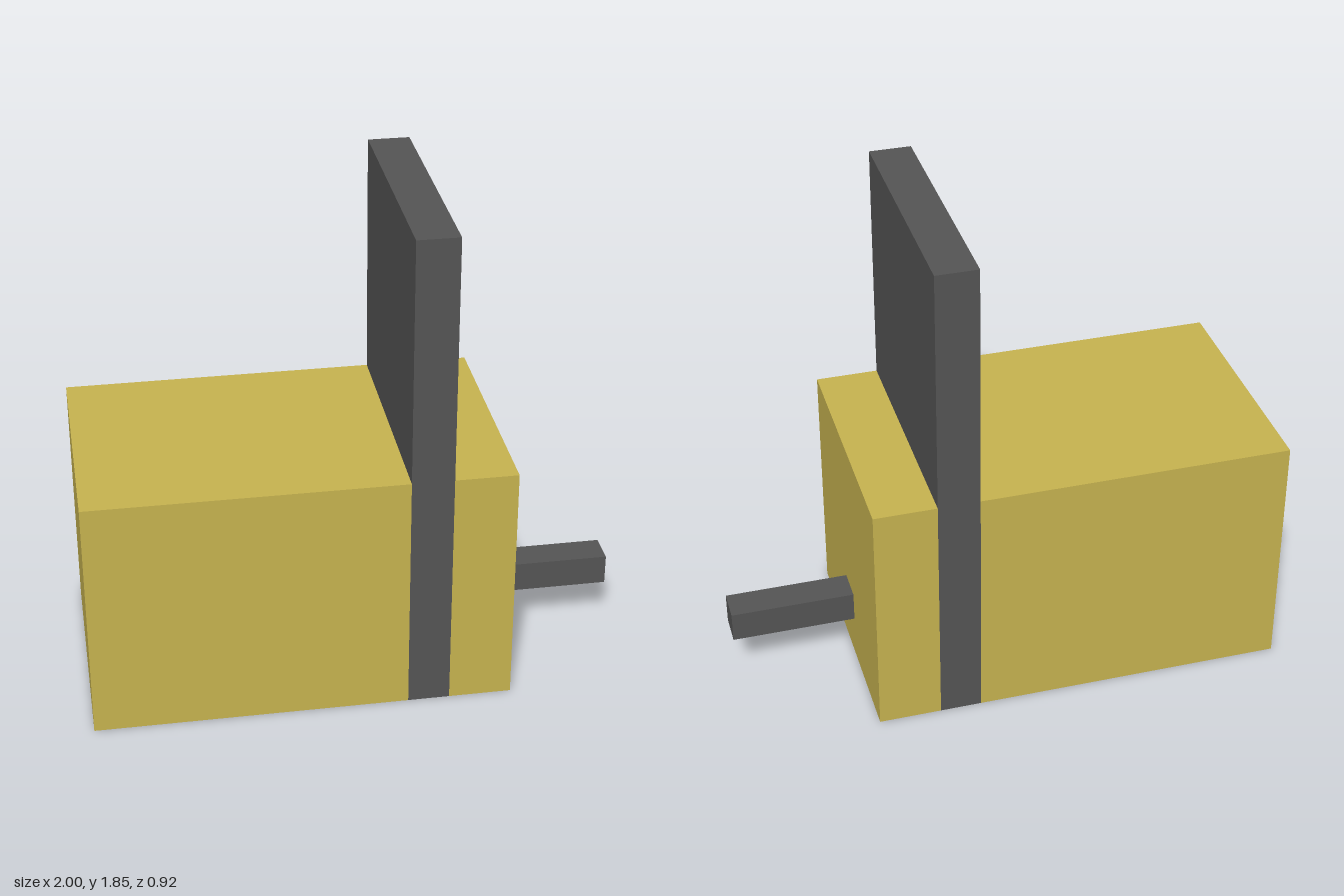
import * as THREE from 'three';

export function createModel() {
  const model = new THREE.Group();
  const yellow = new THREE.MeshStandardMaterial({ color: 0xc8b450 });
  yellow.name = 'mustard yellow';
  const grey = new THREE.MeshStandardMaterial({ color: 0x555555 });
  grey.name = 'dark grey';

  const U = 1 / 13; // module on which all parts are sized

  // Box from its x range, y range and depth (in modules), centred on z = 0
  function block(name, material, x0, x1, y0, y1, depth) {
    const geometry = new THREE.BoxGeometry((x1 - x0) * U, (y1 - y0) * U, depth * U);
    const mesh = new THREE.Mesh(geometry, material);
    mesh.position.set(((x0 + x1) / 2) * U, ((y0 + y1) / 2) * U, 0);
    mesh.name = name;
    model.add(mesh);
  }

  // Body in two blocks, with the upright slab set flush between them
  block('mainBody', yellow, -13, 2, 0, 12, 12);
  block('endBody', yellow, 4, 7, 0, 12, 12);
  block('uprightSlab', grey, 2, 4, 0, 24, 12);

  // Square rod projecting from the end
  block('rod', grey, 7, 13, 2.25, 3.75, 1.6);

  return model;
}
